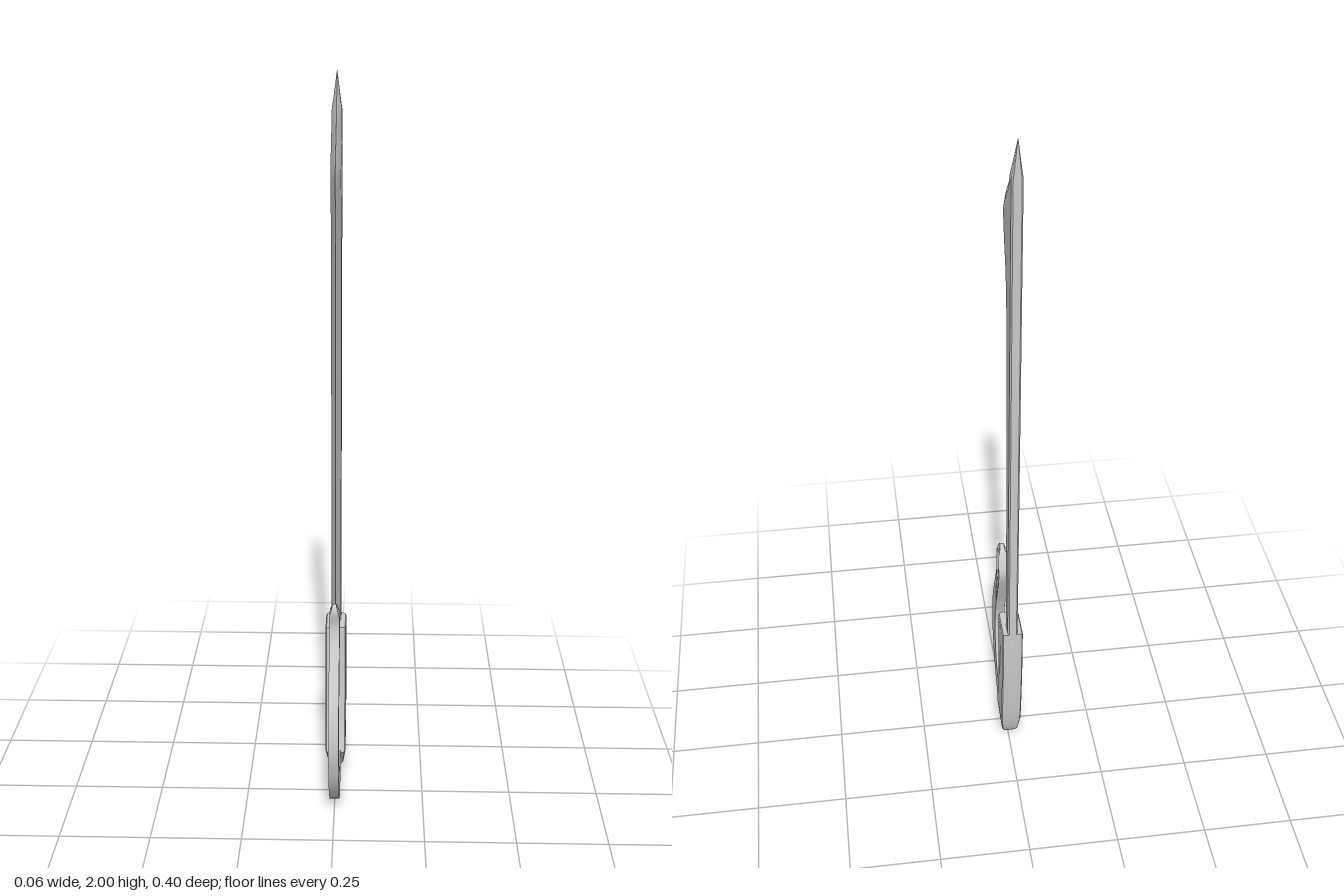
import * as THREE from 'three';
import { toCreasedNormals } from 'three/addons/utils/BufferGeometryUtils.js';

const HALF = 0.014; // half thickness of blade, tang and hook

const makeMaterial = () => new THREE.MeshStandardMaterial({ color: 0xcccccc });
const toVectors = (points) => points.map(([z, y]) => new THREE.Vector2(z, y));

function addMesh(group, name, geometry, crease = 0.6) {
  const mesh = new THREE.Mesh(toCreasedNormals(geometry, crease), makeMaterial());
  mesh.name = name;
  group.add(mesh);
}

// Moves every vertex by a rule
function reshape(geometry, rule) {
  const pos = geometry.attributes.position;
  const v = new THREE.Vector3();
  for (let i = 0; i < pos.count; i++) {
    rule(v.fromBufferAttribute(pos, i));
    pos.setXYZ(i, v.x, v.y, v.z);
  }
  return geometry;
}

// Extrudes a (z, y) outline sideways, centred on x = 0
function sideExtrude(shape, depth, options) {
  const geometry = new THREE.ExtrudeGeometry(shape, { depth, curveSegments: 3, ...options });
  geometry.translate(0, 0, -depth / 2);
  return geometry.rotateY(-Math.PI / 2);
}

// Blade: thick spine at the back, bevel to a sharp edge at the front
function bladeGeometry() {
  const edge = new THREE.SplineCurve(toVectors([
    [-0.055, 0.48], [-0.055, 0.8], [-0.055, 1.15], [-0.055, 1.42], [-0.049, 1.54],
    [-0.036, 1.62], [-0.012, 1.69], [0.001, 1.735], [0.002, 1.765], [-0.016, 1.79],
    [-0.06, 1.832], [-0.114, 1.885], [-0.158, 1.942], [-0.198, 2],
  ]));
  const rows = 78, ring = 7;
  const positions = [], index = [];
  for (let r = 0; r <= rows; r++) {
    const p = edge.getPoint(r / rows);
    const back = THREE.MathUtils.mapLinear(p.y, 0.48, 2, -0.15, -0.2);
    const chord = p.x - back;
    const w = Math.min(HALF, chord * 0.2);
    const bevel = Math.min(0.062, chord * 0.55);
    const side = [[w * 0.72, back], [w, back + Math.min(0.005, chord * 0.1)], [w * 0.97, p.x - bevel]];
    const section = [...side, [0, p.x], ...side.map(([x, z]) => [-x, z]).reverse()];
    for (const [x, z] of section) positions.push(x, p.y, z);
  }
  for (let r = 0; r < rows; r++) {
    for (let i = 0; i < ring; i++) {
      const a = r * ring + i, b = r * ring + (i + 1) % ring;
      index.push(a, a + ring, b, b, a + ring, b + ring);
    }
  }
  const geometry = new THREE.BufferGeometry();
  geometry.setAttribute('position', new THREE.Float32BufferAttribute(positions, 3));
  geometry.setIndex(index);
  return geometry;
}

// Tang running down through the grip and curling forward into a hook
function hookGeometry() {
  const shape = new THREE.Shape();
  shape.moveTo(-0.15, 0.49);
  shape.splineThru(toVectors([
    [-0.145, 0.33], [-0.125, 0.15], [-0.1, 0.062], [-0.075, 0.035], [-0.03, 0.01],
    [0.02, 0.002], [0.07, 0.018], [0.115, 0.058], [0.155, 0.11], [0.182, 0.17], [0.198, 0.25],
    [0.18, 0.355], [0.125, 0.465], [0.094, 0.53], [0.087, 0.572], [0.095, 0.61],
    [0.085, 0.63], [0.066, 0.622], [0.045, 0.58], [0.04, 0.535], [0.08, 0.44],
    [0.122, 0.345], [0.135, 0.265], [0.115, 0.165], [0.07, 0.105], [0.025, 0.086],
    [-0.02, 0.115], [-0.042, 0.2], [-0.052, 0.33], [-0.055, 0.49],
  ]));
  // Thin the very tip of the hook
  return reshape(sideExtrude(shape, HALF * 2, { bevelEnabled: false }), (v) => {
    v.x *= 1 - 0.6 * THREE.MathUtils.smoothstep(v.y, 0.595, 0.632);
  });
}

// One grip scale on the given side, with a bevelled rim
function gripGeometry(side) {
  const shape = new THREE.Shape();
  shape.moveTo(-0.152, 0.495);
  shape.splineThru(toVectors([
    [-0.15, 0.41], [-0.144, 0.3], [-0.126, 0.15], [-0.104, 0.066], [-0.08, 0.04],
  ]));
  shape.lineTo(-0.022, 0.112);
  shape.splineThru(toVectors([[-0.042, 0.2], [-0.052, 0.33], [-0.055, 0.495]]));
  const geometry = sideExtrude(shape, 0.005, {
    bevelThickness: 0.01, bevelSize: 0.008, bevelOffset: -0.008, bevelSegments: 2,
  });
  geometry.translate(side * 0.0165, 0, 0);
  // Slim the bottom end
  return reshape(geometry, (v) => {
    v.x *= 1 - 0.28 * THREE.MathUtils.clamp((0.12 - v.y) / 0.08, 0, 1);
  });
}

export function createModel() {
  const model = new THREE.Group();
  model.name = 'hookedSword';
  addMesh(model, 'blade', bladeGeometry());
  addMesh(model, 'hook', hookGeometry());
  addMesh(model, 'leftGripScale', gripGeometry(1));
  addMesh(model, 'rightGripScale', gripGeometry(-1));
  return model;
}
